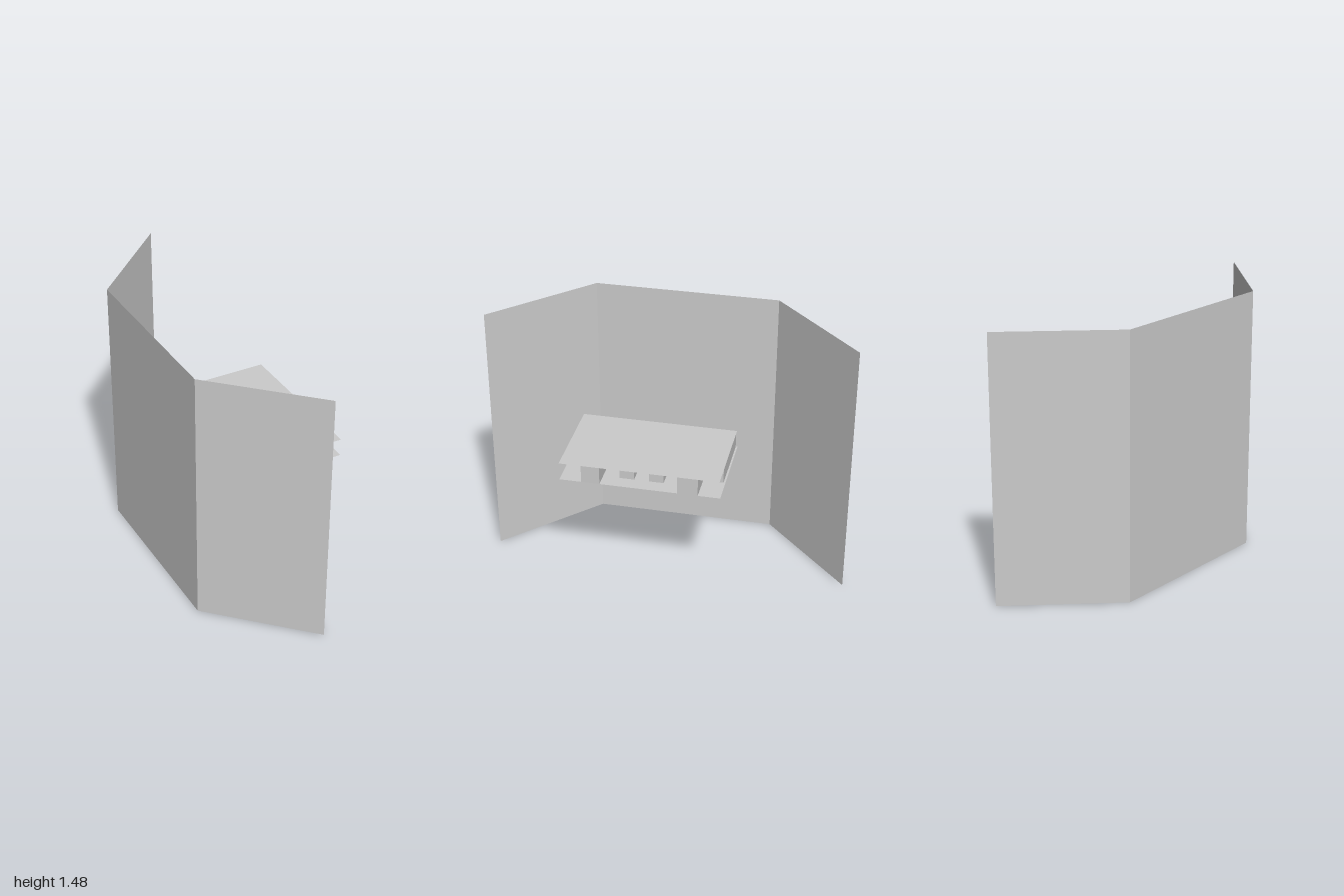
import * as THREE from 'three';

const material = new THREE.MeshStandardMaterial({
  color: 0xcccccc, side: THREE.DoubleSide, flatShading: true,
});

// Thin upright walls following a plan path of [x, z] points
function wall(name, path, y0, y1) {
  const pos = [];
  for (let i = 0; i < path.length - 1; i++) {
    const [ax, az] = path[i], [bx, bz] = path[i + 1];
    pos.push(ax, y0, az, bx, y0, bz, bx, y1, bz, ax, y0, az, bx, y1, bz, ax, y1, az);
  }
  const geo = new THREE.BufferGeometry();
  geo.setAttribute('position', new THREE.Float32BufferAttribute(pos, 3));
  geo.computeVertexNormals();
  const mesh = new THREE.Mesh(geo, material);
  mesh.name = name;
  return mesh;
}

// Thin horizontal sheet
function slab(name, x0, x1, z0, z1, y) {
  const geo = new THREE.PlaneGeometry(x1 - x0, z1 - z0).rotateX(-Math.PI / 2);
  geo.translate((x0 + x1) / 2, y, (z0 + z1) / 2);
  const mesh = new THREE.Mesh(geo, material);
  mesh.name = name;
  return mesh;
}

export function createModel() {
  const model = new THREE.Group();
  model.name = 'pavilionWithFoldedScreen';

  // Tall screen: a long panel with two wings folded forward
  model.add(wall('foldedScreen',
    [[0.06, 1], [-0.44, 0.51], [-0.44, -0.51], [0.06, -1]], 0, 1.48));

  // Flat building: floor and roof sheets
  const low = 0.74, high = 0.84, back = -0.09;
  const building = new THREE.Group();
  building.name = 'building';
  building.add(slab('floor', back, 0.43, -0.36, 0.51, low));
  building.add(slab('roof', back, 0.43, -0.355, 0.51, high));

  // Outer wall with a stepped facade; each entry is [x, zStart, zEnd]
  const steps = [
    [0.28, 0.51, 0.39], [0.43, 0.39, 0.29], [0.28, 0.29, 0.2], [0.35, 0.2, 0.12],
    [0.28, 0.12, 0.04], [0.35, 0.04, -0.04], [0.28, -0.04, -0.13],
    [0.43, -0.13, -0.24], [0.28, -0.24, -0.35],
  ];
  const outline = [[back, 0.51]];
  for (const [x, z0, z1] of steps) outline.push([x, z0], [x, z1]);
  outline.push([back, -0.35], [back, 0.51]);
  building.add(wall('outerWall', outline, low, high));

  // Inner partitions: a corridor wall and the room dividers behind it
  building.add(wall('corridorWall', [[0.12, 0.51], [0.12, -0.35]], low, high));
  for (const z of [0.29, 0.08, -0.13]) {
    building.add(wall('roomDivider', [[back, z], [0.12, z]], low, high));
  }
  model.add(building);
  return model;
}
